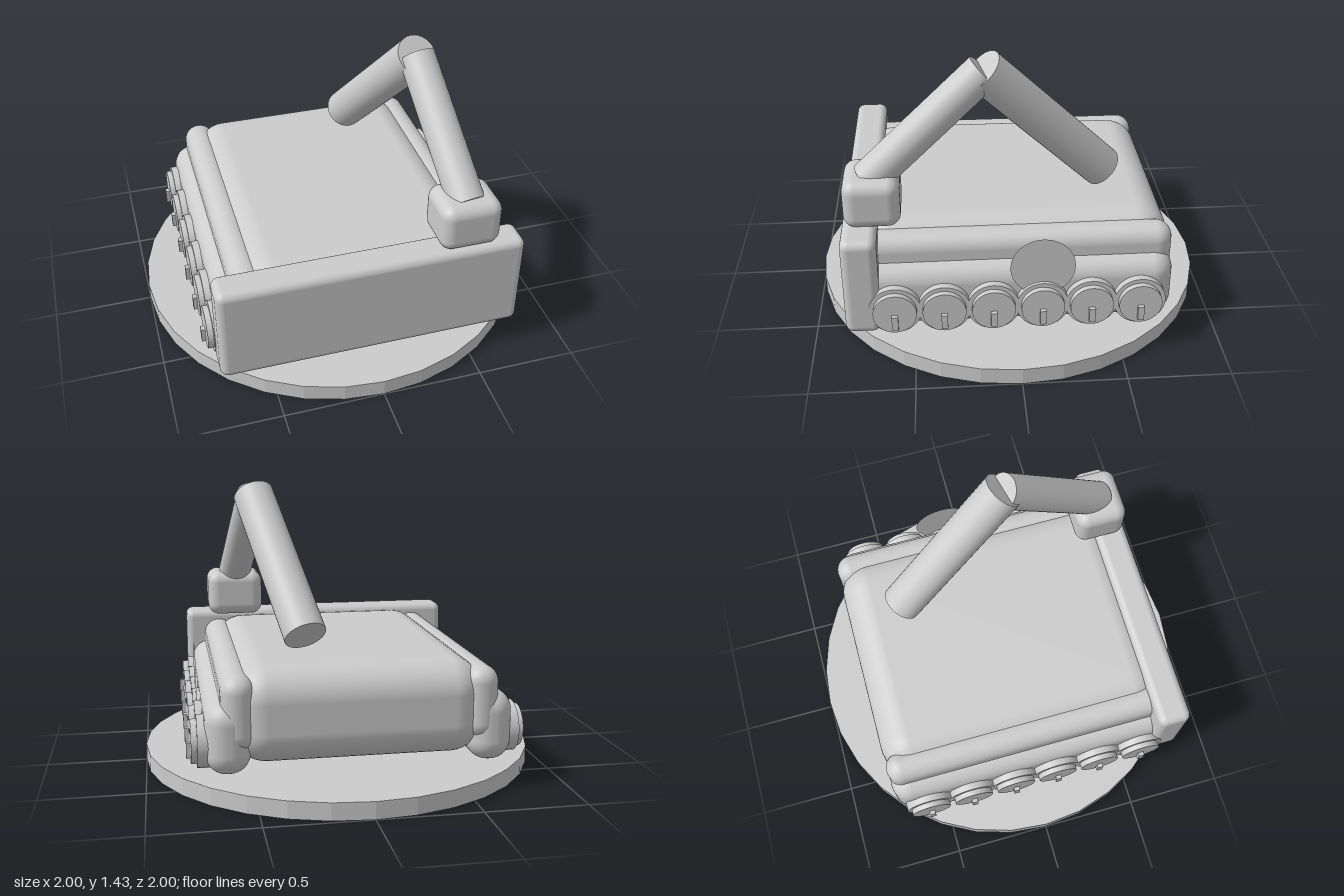
import * as THREE from 'three';
import { RoundedBoxGeometry } from 'three/addons/geometries/RoundedBoxGeometry.js';

const grey = new THREE.MeshStandardMaterial({ color: 0xcccccc });
grey.name = 'light grey';
const greyThin = grey;
greyThin.side = THREE.DoubleSide;

export function createModel() {
  const model = new THREE.Group();
  model.name = 'trackedVehicle';

  const add = (name, geometry, parent = model) => {
    const mesh = new THREE.Mesh(geometry, grey);
    mesh.name = name;
    parent.add(mesh);
    return mesh;
  };

  // Rounded box given by its minimum and maximum corners
  const block = (name, [x0, y0, z0], [x1, y1, z1], radius, parent) => {
    const mesh = add(name, new RoundedBoxGeometry(x1 - x0, y1 - y0, z1 - z0, 5, radius), parent);
    mesh.position.set((x0 + x1) / 2, (y0 + y1) / 2, (z0 + z1) / 2);
    return mesh;
  };

  // Cylinder between two points
  const rod = (name, from, to, radius, parent) => {
    const a = new THREE.Vector3(...from);
    const b = new THREE.Vector3(...to);
    const dir = b.clone().sub(a);
    const mesh = add(name, new THREE.CylinderGeometry(radius, radius, dir.length(), 32), parent);
    mesh.position.copy(a).add(b).multiplyScalar(0.5);
    mesh.quaternion.setFromUnitVectors(new THREE.Vector3(0, 1, 0), dir.normalize());
    return mesh;
  };

  // Display base: faceted disc
  const base = add('base', new THREE.CylinderGeometry(1, 1, 0.085, 32).toNonIndexed());
  base.geometry.computeVertexNormals();
  base.position.y = 0.0425;

  // Hull and front plate
  block('hull', [-0.6, 0.17, -0.76], [0.6, 0.63, 0.76], 0.16);
  block('frontPlate', [-0.758, 0.142, 0.66], [0.758, 0.655, 0.83], 0.04);

  // Side rails, tracks and wheels, mirrored
  for (const side of [1, -1]) {
    const label = side > 0 ? 'left' : 'right';
    const flank = new THREE.Group();
    flank.name = label + 'Flank';
    model.add(flank);
    const span = (name, x0, x1, y0, y1, r) =>
      block(name, [Math.min(side * x0, side * x1), y0, -0.757],
        [Math.max(side * x0, side * x1), y1, 0.757], r, flank);
    span('rail', 0.495, 0.655, 0.25, 0.602, 0.078);
    span('track', 0.515, 0.728, 0.135, 0.48, 0.1);

    for (let i = 0; i < 6; i++) {
      const z = 0.59 - i * 0.235;
      const y = 0.273;
      rod('wheel', [side * 0.66, y, z], [side * 0.762, y, z], 0.125, flank);
      rod('wheelHub', [side * 0.76, y, z], [side * 0.79, y, z], 0.104, flank);
      const lug = add('wheelLug', new THREE.BoxGeometry(0.04, 0.075, 0.03), flank);
      lug.position.set(side * 0.79, 0.232, z);
    }
  }

  // Round side plate, on the left only
  const plate = add('sideDisc', new THREE.CircleGeometry(0.155, 32));
  plate.rotation.y = Math.PI / 2;
  plate.position.set(0.745, 0.48, -0.115);

  // Jointed arm on its mount
  block('armMount', [0.33, 0.645, 0.545], [0.633, 0.89, 0.815], 0.06);
  rod('lowerArm', [0.485, 0.84, 0.695], [0.41, 1.347, 0.14], 0.09);
  rod('upperArm', [0.41, 1.355, 0.145], [0.23, 0.725, -0.46], 0.104);

  return model;
}
